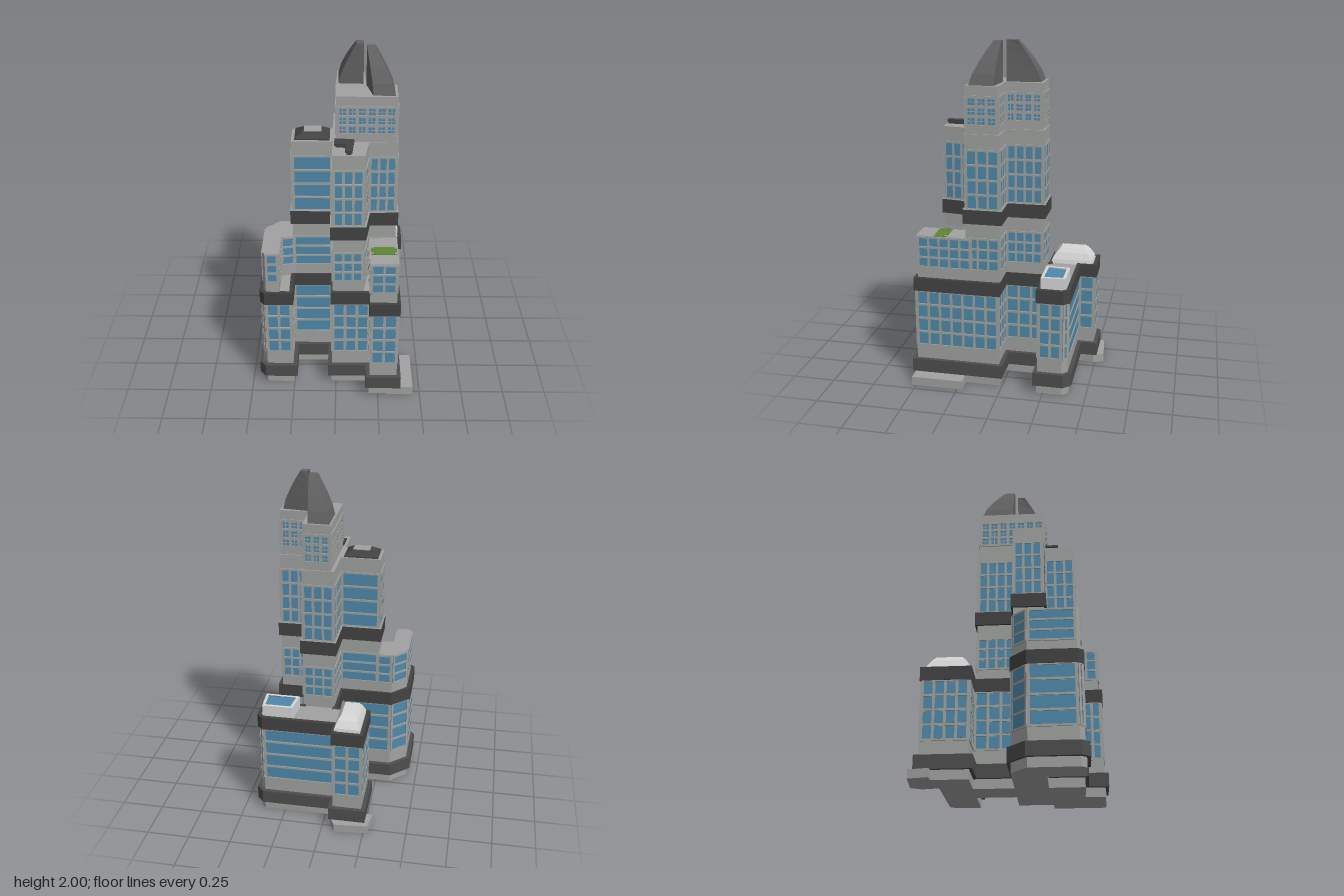
import * as THREE from 'three';
import { mergeGeometries } from 'three/addons/utils/BufferGeometryUtils.js';

const mat = (name, color, side = THREE.FrontSide) => {
  const m = new THREE.MeshStandardMaterial({ color, side });
  m.name = name;
  return m;
};

// Outlines are [x, z] corners, running clockwise seen from above.
const rect = (x0, z0, x1, z1) => [[x0, z0], [x1, z0], [x1, z1], [x0, z1]];

// Push every side of an outline outwards by d
function offset(pts, d) {
  const n = pts.length;
  const normal = (a, b) => {
    const dx = b[0] - a[0], dz = b[1] - a[1], l = Math.hypot(dx, dz);
    return [dz / l, -dx / l];
  };
  return pts.map((p, i) => {
    const u = normal(pts[(i + n - 1) % n], p), v = normal(p, pts[(i + 1) % n]);
    const k = d / (1 + u[0] * v[0] + u[1] * v[1]);
    return [p[0] + (u[0] + v[0]) * k, p[1] + (u[1] + v[1]) * k];
  });
}

// Upright prism from an outline, optionally with a hole
function prism(pts, y0, y1, hole) {
  const to2 = ([x, z]) => new THREE.Vector2(x, -z);
  const shape = new THREE.Shape(pts.map(to2));
  if (hole) shape.holes.push(new THREE.Path(hole.map(to2)));
  const g = new THREE.ExtrudeGeometry(shape, { depth: y1 - y0, bevelEnabled: false });
  return g.rotateX(-Math.PI / 2).translate(0, y0, 0);
}

// Flat-faced loft through four-cornered rings: [[y, outline], ...]
function loft(rings) {
  const pos = [];
  const quad = (a, b, c, d) => [a, b, c, a, c, d].forEach((p) => pos.push(...p));
  const rows = rings.map(([y, pts]) => pts.map(([x, z]) => [x, y, z]));
  for (let r = 0; r < rows.length - 1; r++) {
    for (let i = 0; i < 4; i++) {
      const j = (i + 1) % 4;
      quad(rows[r][i], rows[r + 1][i], rows[r + 1][j], rows[r][j]);
    }
  }
  const t = rows[rows.length - 1], b = rows[0];
  quad(t[0], t[3], t[2], t[1]);
  quad(b[0], b[1], b[2], b[3]);
  const g = new THREE.BufferGeometry();
  g.setAttribute('position', new THREE.Float32BufferAttribute(pos, 3));
  g.computeVertexNormals();
  return g;
}

// Window grid on every side of an outline; sides listed in wide get one long pane
function facade(pts, { y0, y1, rows, pitch, gap, wide = [], cross = false }) {
  const glass = [], bars = [];
  pts.forEach((a, e) => {
    const b = pts[(e + 1) % pts.length];
    const dx = b[0] - a[0], dz = b[1] - a[1], len = Math.hypot(dx, dz);
    if (len < 0.025) return;
    const put = (list, w, h, t, u, y) => {
      const g = new THREE.BoxGeometry(w, h, t).translate(u - len / 2, y, -t / 2);
      g.rotateY(Math.atan2(-dz, dx));
      list.push(g.translate((a[0] + b[0]) / 2, 0, (a[1] + b[1]) / 2));
    };
    const cols = wide.includes(e) ? 1 : Math.max(1, Math.round(len / pitch));
    const edge = 0.008, cw = (len - 2 * edge) / cols, rh = (y1 - y0) / rows, my = (y0 + y1) / 2;
    for (let r = 0; r < rows; r++) {
      for (let c = 0; c < cols; c++) {
        const u = edge + (c + 0.5) * cw, y = y0 + (r + 0.5) * rh;
        put(glass, cw - gap, rh - gap, 0.002, u, y);
        if (cross) {
          put(bars, 0.004, rh - gap, 0.004, u, y);
          put(bars, cw - gap, 0.004, 0.004, u, y);
        }
      }
    }
    for (let r = 0; r <= rows; r++) put(bars, len - 2 * edge, gap * 0.8, 0.006, len / 2, y0 + r * rh);
    for (let c = 0; c <= cols; c++) put(bars, gap * 0.8, y1 - y0, 0.0055, edge + c * cw, my);
  });
  return { glass: mergeGeometries(glass), bars: mergeGeometries(bars) };
}

export function createModel() {
  const group = new THREE.Group();
  const stone = mat('stone', 0xa0a2a0), band = mat('dark band', 0x434343);
  const baseBand = mat('base band', 0x4e4e4e), glass = mat('blue glass', 0x4f89aa);
  const spireMat = mat('spire metal', 0x626362), pale = mat('pale skylight', 0xd6d7d6);
  const grass = mat('grass', 0x5f8733);
  const add = (name, geometry, material) => {
    const m = new THREE.Mesh(geometry, material);
    m.name = name;
    group.add(m);
  };
  const windows = (name, pts, options) => {
    const f = facade(pts, options);
    add(name + 'Windows', f.glass, glass);
    add(name + 'Mullions', f.bars, stone);
  };

  // Footprint of the podium with its five wings
  const podium = [
    [-0.23, -0.488], [-0.06, -0.488], [-0.06, -0.39], [0.372, -0.39], [0.4, -0.36], [0.4, -0.216],
    [0.163, -0.216], [0.163, 0.02], [0.36, 0.02], [0.36, 0.515], [0.2, 0.515], [0.2, 0.4],
    [-0.023, 0.4], [-0.023, 0.2], [-0.255, 0.2], [-0.255, 0.408], [-0.41, 0.408], [-0.433, 0.38],
    [-0.433, 0.11], [-0.335, 0.02], [-0.026, 0.02], [-0.026, -0.216], [-0.23, -0.216],
  ];
  add('base', prism(offset(podium, 0.004), 0, 0.06), stone);
  add('baseBand', prism(offset(podium, 0.024), 0.055, 0.135), baseBand);
  add('podiumWalls', prism(podium, 0.13, 0.635), stone);
  add('podiumBand', prism(offset(podium, 0.009), 0.565, 0.645, offset(podium, -0.014)), band);
  windows('podium', podium, { y0: 0.222, y1: 0.565, rows: 4, pitch: 0.075, gap: 0.016, wide: [2, 13, 17, 18, 19] });

  // Entrance slabs
  add('sideStep', prism(rect(0.3, 0.22, 0.458, 0.525), 0, 0.052), stone);
  add('backStep', prism([[-0.272, -0.535], [-0.077, -0.552], [-0.045, -0.49], [-0.06, -0.4], [-0.292, -0.42]], 0, 0.05), stone);

  // Cross-shaped tower shaft
  const shaft = [
    [-0.02, -0.205], [0.165, -0.205], [0.17, 0.015], [0.342, 0.012], [0.342, 0.212], [0.182, 0.215],
    [0.158, 0.383], [-0.02, 0.385], [-0.02, 0.2], [-0.25, 0.2], [-0.25, 0.025], [-0.02, 0.025],
  ];
  add('shaftWalls', prism(shaft, 0.6, 1.505), stone);
  add('shaftBand', prism(offset(shaft, 0.013), 0.99, 1.073), band);
  add('shaftLedge', prism(offset(shaft, 0.013), 1.073, 1.076), stone);
  windows('lowerShaft', shaft, { y0: 0.71, y1: 0.9, rows: 3, pitch: 0.058, gap: 0.014, wide: [8, 10] });
  windows('upperShaft', shaft, { y0: 1.075, y1: 1.415, rows: 4, pitch: 0.058, gap: 0.015, wide: [8, 10] });

  // Middle tier wings
  const sideWing = [
    [-0.335, 0.025], [-0.24, 0.025], [-0.24, 0.2], [-0.325, 0.215], [-0.325, 0.4],
    [-0.403, 0.4], [-0.417, 0.38], [-0.417, 0.11],
  ];
  const frontWing = rect(0.195, 0.18, 0.348, 0.503);
  const wingRows = { y0: 0.71, y1: 0.892, rows: 3, pitch: 0.065, gap: 0.014 };
  add('sideWing', prism(sideWing, 0.6, 0.9), stone);
  windows('sideWing', sideWing, { ...wingRows, wide: [0, 6, 7] });
  add('frontWing', prism(frontWing, 0.6, 0.9), stone);
  windows('frontWing', frontWing, wingRows);

  // Roof garden with corner posts
  add('roofGarden', prism(rect(0.2, 0.325, 0.345, 0.402), 0.898, 0.904), grass);
  const posts = [];
  for (const x of [0.207, 0.338]) for (const z of [0.332, 0.395]) {
    posts.push(new THREE.BoxGeometry(0.012, 0.01, 0.012).translate(x, 0.902, z));
  }
  add('gardenPosts', mergeGeometries(posts), stone);

  // L-shaped crown block
  const crown = [[0, -0.2], [0.158, -0.195], [0.166, 0.02], [0.335, 0.022], [0.335, 0.208], [0, 0.205]];
  add('crownWalls', prism(crown, 1.49, 1.77), stone);
  windows('crown', crown, { y0: 1.55, y1: 1.71, rows: 3, pitch: 0.058, gap: 0.018, cross: true });

  // Twin curved spires, leaning to each other
  const spire = (base, tip) => loft([[1.77, 0], [1.83, 0.16], [1.9, 0.46], [1.96, 0.77], [2, 1]].map(([y, t]) =>
    [y, base.map((p, i) => [p[0] + (tip[i][0] - p[0]) * t, p[1] + (tip[i][1] - p[1]) * t])]));
  add('backSpire', spire([[0.01, -0.185], [0.13, -0.18], [0.15, 0.013], [0.01, 0.005]],
    rect(0.108, -0.05, 0.148, 0.013)), spireMat);
  add('frontSpire', spire([[0.165, 0.03], [0.32, 0.05], [0.32, 0.19], [0.2, 0.19]],
    rect(0.165, 0.03, 0.212, 0.073)), spireMat);

  // Side arm roof hood and its flat top
  add('roofHood', loft([[1.5, rect(-0.232, 0.035, -0.036, 0.185)], [1.512, rect(-0.232, 0.035, -0.036, 0.185)],
    [1.54, rect(-0.182, 0.07, -0.08, 0.147)]]), band);
  add('roofHoodTop', prism(rect(-0.18, 0.072, -0.082, 0.145), 1.54, 1.543), stone);

  // Stepped plant room on the front arm
  const plant = [[-0.01, 0.212], [0.1, 0.225], [0.088, 0.378], [0.05, 0.378], [0.05, 0.288], [-0.01, 0.285]];
  add('plantRoom', prism(offset(plant, -0.006), 1.5, 1.518), band);
  add('plantRoomRoof', prism(plant, 1.518, 1.53), band);

  // Pale skylight on the back wing
  add('skylight', loft([[0.63, rect(-0.218, -0.47, -0.06, -0.215)], [0.66, rect(-0.212, -0.465, -0.066, -0.222)],
    [0.7, rect(-0.196, -0.44, -0.083, -0.246)], [0.725, rect(-0.18, -0.415, -0.1, -0.27)]]), pale);

  // Rooftop pool
  const pool = [[0.197, -0.37], [0.376, -0.37], [0.384, -0.23], [0.182, -0.23]];
  add('poolWall', prism(pool, 0.63, 0.71, offset(pool, -0.017)), pale);
  add('poolWater', prism(offset(pool, -0.015), 0.695, 0.702), glass);

  return group;
}
